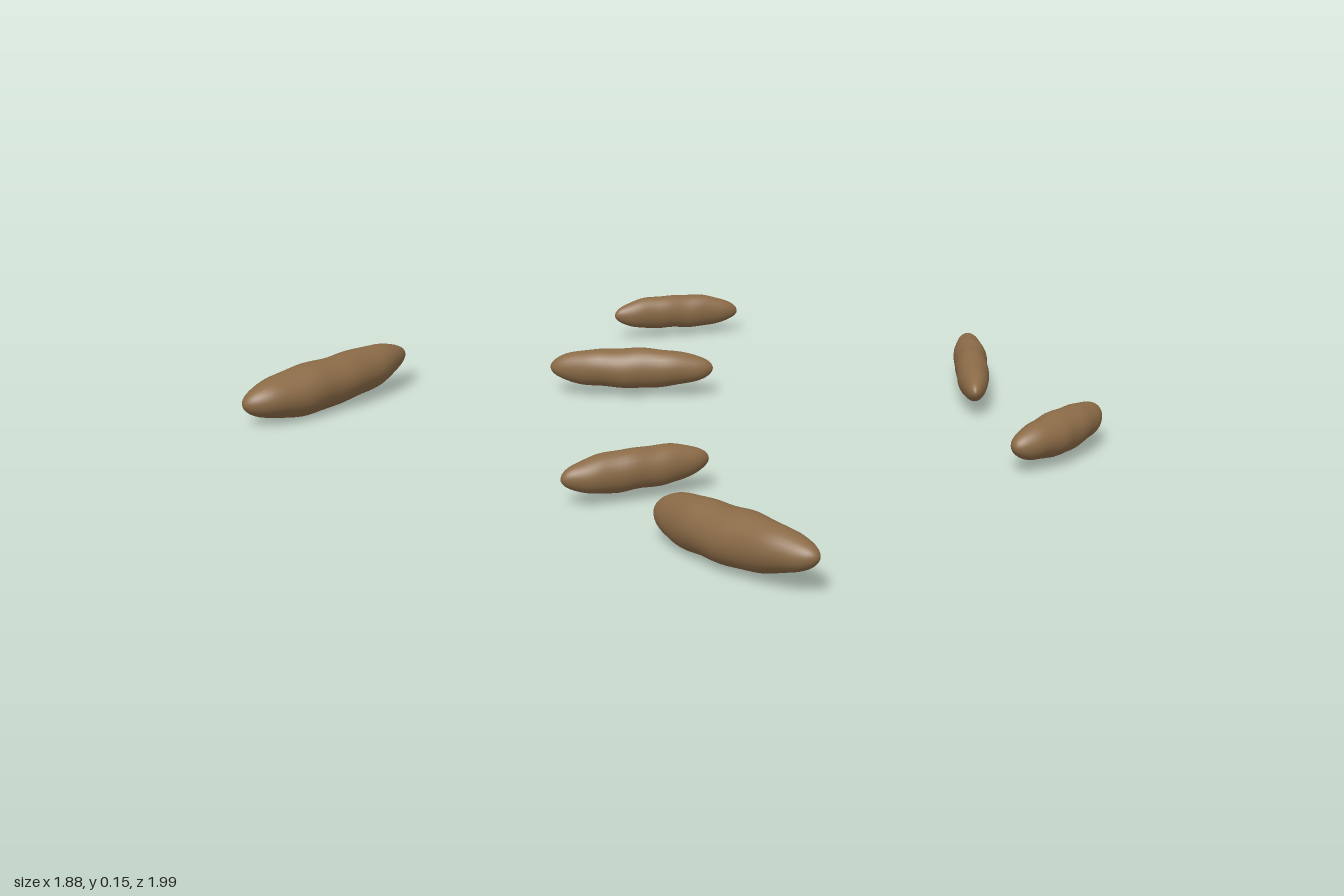
import * as THREE from 'three';
import { mergeVertices } from 'three/addons/utils/BufferGeometryUtils.js';

// A blunt, slightly lumpy pellet: a sphere stretched along a gently bowed axis.
// taper > 0 narrows the "to" end, taper < 0 narrows the "from" end.
function pelletGeometry({ from, mid, to, width, height, taper = 0, seed }) {
  const a = new THREE.Vector3(...from), m = new THREE.Vector3(...mid), b = new THREE.Vector3(...to);
  const control = m.clone().multiplyScalar(2).sub(a.clone().add(b).multiplyScalar(0.5));
  const axis = new THREE.QuadraticBezierCurve3(a, control, b);
  const side = b.clone().sub(a).cross(new THREE.Vector3(0, 1, 0)).normalize();
  const up = side.clone().cross(b.clone().sub(a)).normalize();

  let geo = new THREE.SphereGeometry(1, 28, 40);
  geo.rotateZ(-Math.PI / 2);
  geo.deleteAttribute('uv');
  geo.deleteAttribute('normal');
  geo = mergeVertices(geo, 1e-4);
  const pos = geo.attributes.position;
  const p = new THREE.Vector3();
  for (let i = 0; i < pos.count; i++) {
    const t = THREE.MathUtils.clamp(pos.getX(i), -1, 1);
    const y = pos.getY(i), z = pos.getZ(i);
    const ring = Math.hypot(y, z);
    const angle = Math.atan2(y, z);
    const lump = 1 + 0.025 * Math.sin(7 * t + 2 * angle + seed) + 0.02 * Math.sin(13 * t - angle + seed * 2.3);
    const r = ring < 1e-4 ? 0 : Math.sqrt(Math.max(0, 1 - Math.abs(t) ** 2.5)) * (1 - taper * t) * lump;
    axis.getPoint((t + 1) / 2, p);
    p.addScaledVector(side, Math.cos(angle) * r * width / 2);
    p.addScaledVector(up, Math.sin(angle) * r * height / 2);
    pos.setXYZ(i, p.x, p.y, p.z);
  }
  geo.computeVertexNormals();
  return geo;
}

export function createModel() {
  const model = new THREE.Group();
  model.name = 'scatteredPellets';
  const brown = new THREE.MeshStandardMaterial({ color: 0x8b6b47 });
  brown.name = 'earthy brown';

  const pellets = [
    { name: 'backRightLargePellet', from: [-0.945, 0.068, -0.885], mid: [-0.66, 0.074, -0.908], to: [-0.38, 0.092, -0.962], width: 0.148, height: 0.134, taper: 0.1 },
    { name: 'backLeftPellet', from: [0.335, 0.08, -0.885], mid: [0.512, 0.077, -0.812], to: [0.68, 0.068, -0.72], width: 0.076, height: 0.1 },
    { name: 'centrePellet', from: [-0.13, 0.08, -0.598], mid: [0.025, 0.082, -0.435], to: [0.197, 0.083, -0.278], width: 0.098, height: 0.112 },
    { name: 'leftPellet', from: [0.59, 0.075, 0.358], mid: [0.766, 0.078, 0.178], to: [0.932, 0.082, 0.004], width: 0.092, height: 0.112 },
    { name: 'rightPellet', from: [-0.68, 0.075, 0.16], mid: [-0.5, 0.08, 0.224], to: [-0.318, 0.086, 0.294], width: 0.094, height: 0.106 },
    { name: 'frontRightLargePellet', from: [-0.608, 0.066, 0.448], mid: [-0.625, 0.08, 0.72], to: [-0.61, 0.1, 0.998], width: 0.136, height: 0.138, taper: 0.08 },
    { name: 'frontLeftPellet', from: [0.333, 0.073, 0.732], mid: [0.515, 0.077, 0.722], to: [0.712, 0.081, 0.682], width: 0.112, height: 0.11 },
  ];
  pellets.forEach((spec, i) => {
    const mesh = new THREE.Mesh(pelletGeometry({ ...spec, seed: i * 1.7 }), brown);
    mesh.name = spec.name;
    model.add(mesh);
  });
  return model;
}
